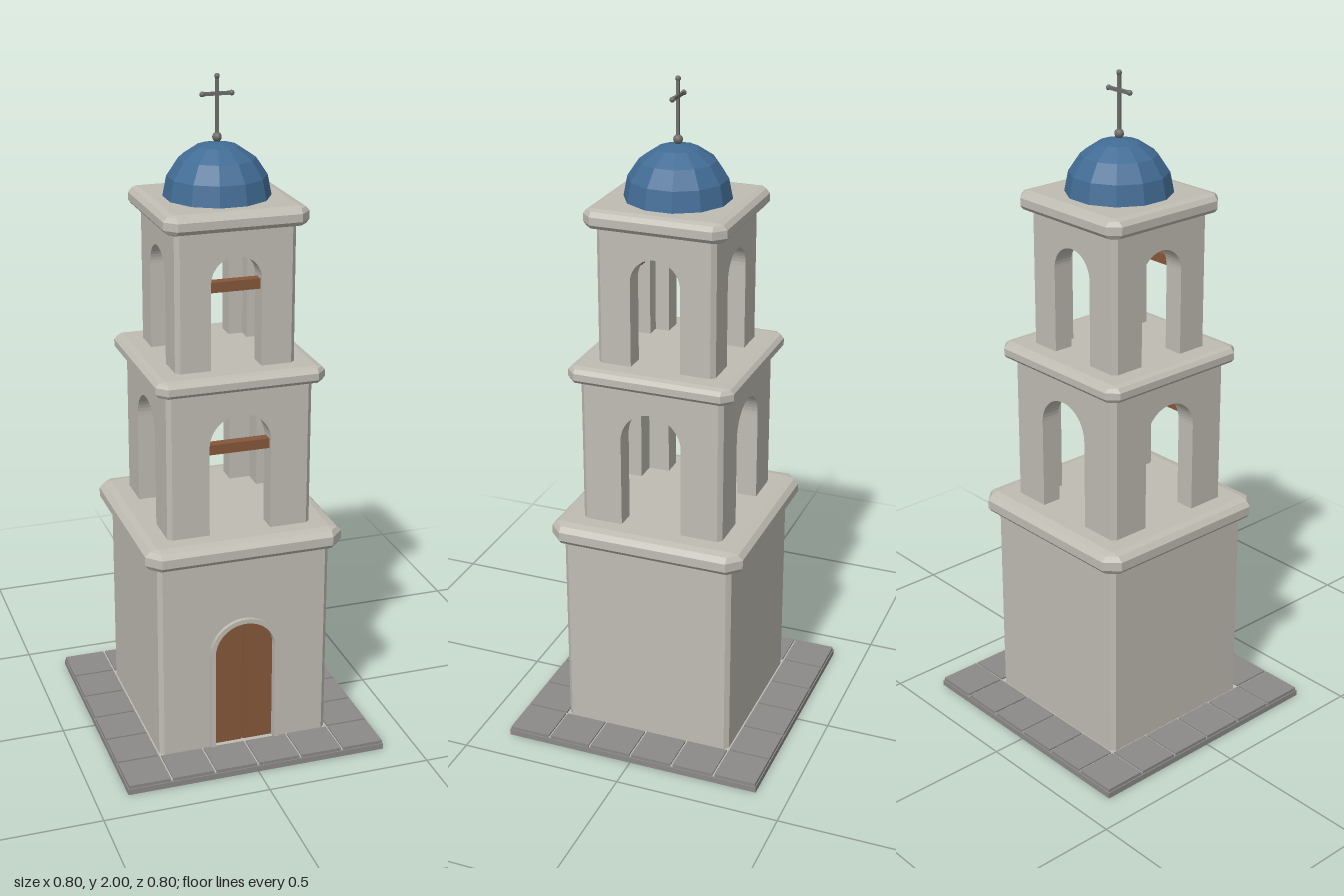
import * as THREE from 'three';

const mat = (name, color) => {
  const m = new THREE.MeshStandardMaterial({ color });
  m.name = name;
  return m;
};

export function createModel() {
  const plaster = mat('plaster', 0xbfbcb3);
  const stone = mat('paving stone', 0x8b8a88);
  const wood = mat('wood', 0x85573b);
  const blue = mat('dome blue', 0x426c95);
  const iron = mat('iron', 0x6e6e6c);

  const model = new THREE.Group();
  model.name = 'bellTower';
  const add = (parent, name, geo, material, x = 0, y = 0, z = 0) => {
    const mesh = new THREE.Mesh(geo, material);
    mesh.name = name;
    mesh.position.set(x, y, z);
    parent.add(mesh);
    return mesh;
  };
  const group = (name) => {
    const g = new THREE.Group();
    g.name = name;
    model.add(g);
    return g;
  };
  const flat = (geo) => {
    const g = geo.index ? geo.toNonIndexed() : geo;
    g.computeVertexNormals();
    return g;
  };
  const extrude = (shape, depth) =>
    new THREE.ExtrudeGeometry(shape, { depth, bevelEnabled: false, curveSegments: 12 });

  // Wall panel outline, with an optional round-headed opening down to the floor
  const wallShape = (w, y0, y1, arch) => {
    const s = new THREE.Shape();
    s.moveTo(-w, y0);
    if (arch) {
      s.lineTo(-arch.r, y0);
      s.lineTo(-arch.r, arch.spring);
      s.absarc(0, arch.spring, arch.r, Math.PI, 0, true);
      s.lineTo(arch.r, y0);
    }
    s.lineTo(w, y0);
    s.lineTo(w, y1);
    s.lineTo(-w, y1);
    s.closePath();
    return s;
  };

  // Hollow square storey: four walls and chamfered corner posts
  const storey = (name, half, y0, y1, arch, openSides) => {
    const g = group(name);
    const c = 0.013, t = 0.06;
    for (let i = 0; i < 4; i++) {
      const side = new THREE.Group();
      side.name = 'side';
      side.rotation.y = i * Math.PI / 2;
      g.add(side);
      const shape = wallShape(half - c, y0, y1, i < openSides ? arch : null);
      add(side, 'wall', extrude(shape, t), plaster, 0, 0, half - t);
      add(side, 'cornerPost', flat(new THREE.CylinderGeometry(c, c, y1 - y0, 4)), plaster,
        half - c, (y0 + y1) / 2, half - c);
    }
    return g;
  };

  // Cornice: stacked eight-sided sections with clipped corners
  const cornice = (name, half, y0, y1, bevel) => {
    const h = y1 - y0;
    const rings = [[0, 0.12], [0.1, 0.7], [0.3, 1], [0.7, 1], [0.92, 0.65], [1, 0.08]];
    const pos = [], idx = [];
    rings.forEach(([v, k]) => {
      const inner = half - bevel, outer = inner + bevel * k;
      for (let q = 0; q < 4; q++) {
        for (let [a, b] of [[outer, inner], [inner, outer]]) {
          for (let n = 0; n < q; n++) [a, b] = [-b, a];
          pos.push(a, y0 + v * h, -b);
        }
      }
    });
    const last = (rings.length - 1) * 8;
    for (let i = 0; i < 8; i++) {
      const j = (i + 1) % 8;
      for (let r = 0; r < last; r += 8) {
        idx.push(r + i, r + j, r + 8 + j, r + i, r + 8 + j, r + 8 + i);
      }
      if (i > 0 && i < 7) {
        idx.push(last, last + i, last + j);
        idx.push(0, j, i);
      }
    }
    const geo = new THREE.BufferGeometry();
    geo.setAttribute('position', new THREE.Float32BufferAttribute(pos, 3));
    geo.setIndex(idx);
    add(model, name, flat(geo), plaster);
  };

  // Paved base with a ring of slabs and pale joints
  const base = group('pavedBase');
  add(base, 'slab', new THREE.BoxGeometry(0.8, 0.018, 0.8), stone, 0, 0.009, 0);
  add(base, 'joints', new THREE.BoxGeometry(0.792, 0.006, 0.792), plaster, 0, 0.02, 0);
  const pitch = 0.1333;
  for (let i = 0; i < 6; i++) {
    for (let j = 0; j < 6; j++) {
      if (i % 5 && j % 5) continue;
      add(base, 'pavingStone', new THREE.BoxGeometry(0.127, 0.018, 0.127), stone,
        (i - 2.5) * pitch, 0.019, (j - 2.5) * pitch);
    }
  }

  // Three storeys, each topped by a cornice
  const doorArch = { r: 0.093, spring: 0.337 };
  storey('lowerStorey', 0.263, 0.018, 0.65, doorArch, 1);
  cornice('lowerCornice', 0.3, 0.638, 0.705, 0.04);
  storey('middleStorey', 0.218, 0.7, 1.155, { r: 0.093, spring: 0.978 }, 4);
  cornice('middleCornice', 0.252, 1.145, 1.196, 0.03);
  storey('upperStorey', 0.178, 1.19, 1.61, { r: 0.075, spring: 1.45 }, 4);
  cornice('upperCornice', 0.212, 1.598, 1.656, 0.032);

  // Arched door: stone surround and two leaves
  const door = group('door');
  const surround = wallShape(0.107, 0.018, 0.337, doorArch);
  surround.curves.length = 0;
  surround.moveTo(-0.107, 0.018);
  surround.lineTo(-0.093, 0.018);
  surround.lineTo(-0.093, 0.337);
  surround.absarc(0, 0.337, 0.093, Math.PI, 0, true);
  surround.lineTo(0.093, 0.018);
  surround.lineTo(0.107, 0.018);
  surround.lineTo(0.107, 0.337);
  surround.absarc(0, 0.337, 0.107, 0, Math.PI, false);
  surround.closePath();
  add(door, 'doorSurround', extrude(surround, 0.015), plaster, 0, 0, 0.26);
  const back = new THREE.Shape();
  back.moveTo(-0.093, 0.018);
  back.lineTo(0.093, 0.018);
  back.absarc(0, 0.337, 0.093, 0, Math.PI, false);
  back.closePath();
  add(door, 'doorBacking', extrude(back, 0.01), wood, 0, 0, 0.232);
  for (const s of [-1, 1]) {
    const leaf = new THREE.Shape();
    leaf.moveTo(s * 0.002, 0.018);
    leaf.lineTo(s * 0.093, 0.018);
    leaf.absarc(0, 0.337, 0.093, s > 0 ? 0 : Math.PI, Math.PI / 2 - s * 0.02, s < 0);
    leaf.closePath();
    add(door, 'doorLeaf', extrude(leaf, 0.008), wood, 0, 0, 0.24);
  }

  // Wooden beams across the front openings
  add(model, 'middleBeam', new THREE.BoxGeometry(0.186, 0.03, 0.03), wood, 0, 0.965, 0.188);
  add(model, 'upperBeam', new THREE.BoxGeometry(0.15, 0.03, 0.03), wood, 0, 1.435, 0.148);

  // Faceted dome
  const domeGeo = new THREE.SphereGeometry(0.155, 12, 4, 0, Math.PI * 2, 0, Math.PI / 2);
  domeGeo.rotateY(Math.PI / 12);
  add(model, 'dome', flat(domeGeo), blue, 0, 1.655, 0);

  // Cross finial
  const finial = group('finial');
  const ball = (r, x, y) => add(finial, 'knob', new THREE.SphereGeometry(r, 10, 6), iron, x, y, 0);
  add(finial, 'post', new THREE.BoxGeometry(0.01, 0.19, 0.008), iron, 0, 1.898, 0);
  add(finial, 'arm', new THREE.BoxGeometry(0.09, 0.01, 0.008), iron, 0, 1.943, 0);
  ball(0.014, 0, 1.822);
  ball(0.008, 0, 1.992);
  ball(0.008, -0.043, 1.943);
  ball(0.008, 0.043, 1.943);

  return model;
}
